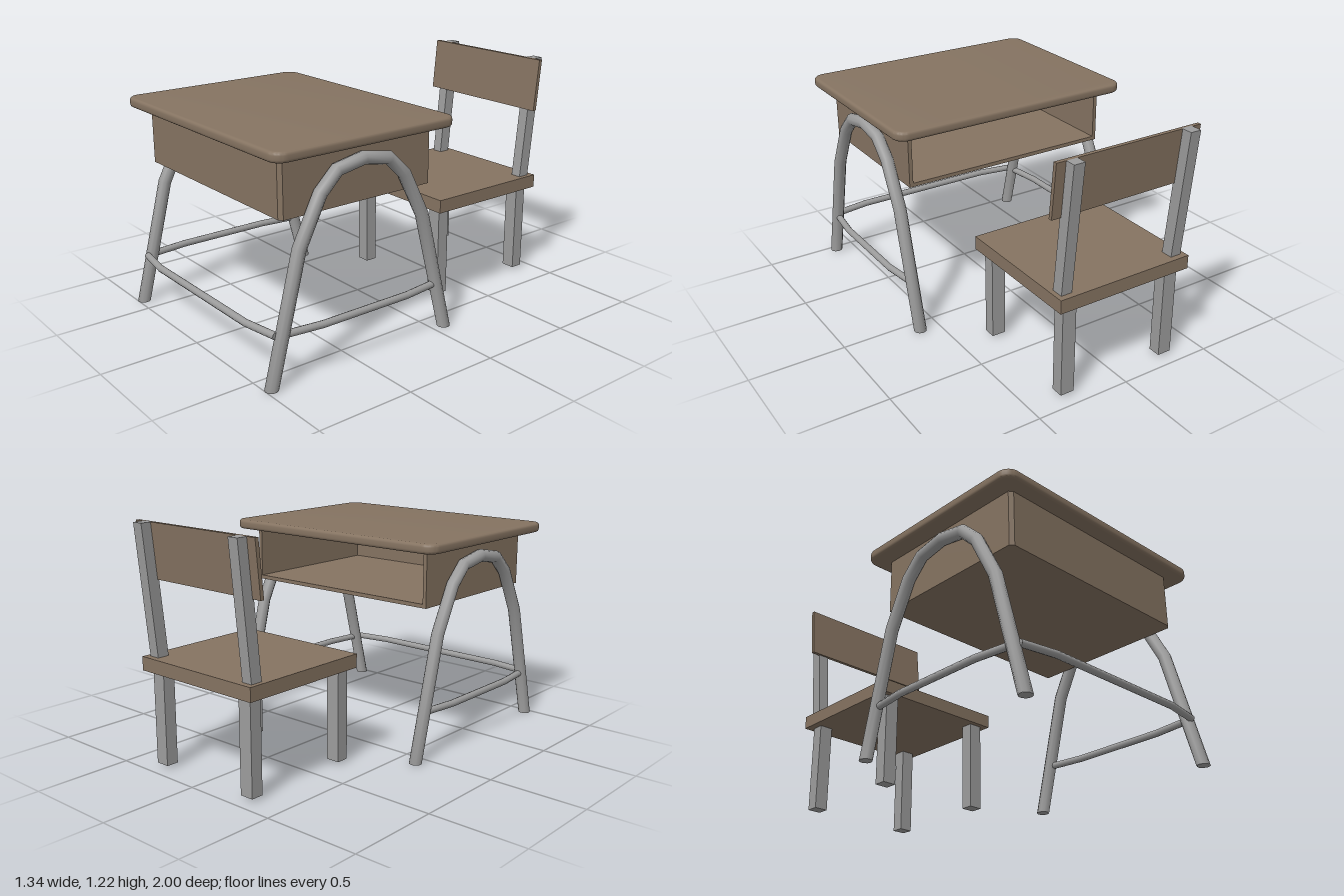
import * as THREE from 'three';
import { mergeGeometries, toCreasedNormals } from 'three/addons/utils/BufferGeometryUtils.js';

const wood = new THREE.MeshStandardMaterial({ name: 'wood', color: 0x857361 });
const metal = new THREE.MeshStandardMaterial({ name: 'grey metal', color: 0x9c9c9c });

// Straight-segment path; an optional end direction squares off the tube ends
class Polyline extends THREE.Curve {
  constructor(points, startDir, endDir) {
    super();
    this.points = points.map((p) => new THREE.Vector3(...p));
    this.startDir = startDir;
    this.endDir = endDir;
  }
  getPoint(t, target = new THREE.Vector3()) {
    const n = this.points.length - 1;
    const i = Math.min(Math.floor(t * n + 1e-6), n - 1);
    return target.lerpVectors(this.points[i], this.points[i + 1], t * n - i);
  }
  getTangent(t, target = new THREE.Vector3()) {
    const p = this.points, n = p.length - 1, k = Math.round(t * n);
    if (k === 0 && this.startDir) return target.copy(this.startDir);
    if (k === n && this.endDir) return target.copy(this.endDir);
    const dir = (i) => p[i + 1].clone().sub(p[i]).normalize();
    return target.copy(dir(Math.max(k - 1, 0))).add(dir(Math.min(k, n - 1))).normalize();
  }
  getPointAt(t, target) { return this.getPoint(t, target); }
  getTangentAt(t, target) { return this.getTangent(t, target); }
}

function add(parent, name, geometry, material) {
  const mesh = new THREE.Mesh(geometry, material);
  mesh.name = name;
  parent.add(mesh);
  return mesh;
}

// Capped tube through the points
function pipe(points, radius, startDir, endDir) {
  const path = new Polyline(points, startDir, endDir);
  const parts = [new THREE.TubeGeometry(path, points.length - 1, radius, 10)];
  for (const [t, sign] of [[0, -1], [1, 1]]) {
    const cap = new THREE.CircleGeometry(radius, 10);
    const out = path.getTangent(t).multiplyScalar(sign);
    cap.applyQuaternion(new THREE.Quaternion().setFromUnitVectors(new THREE.Vector3(0, 0, 1), out));
    const at = path.getPoint(t);
    cap.translate(at.x, at.y, at.z);
    parts.push(cap);
  }
  return mergeGeometries(parts);
}

// Box given by its limits, leaning in z by lean per unit of height
function block(x0, x1, y0, y1, z0, z1, lean = 0) {
  const g = new THREE.BoxGeometry(x1 - x0, y1 - y0, z1 - z0);
  g.applyMatrix4(new THREE.Matrix4().set(1, 0, 0, 0, 0, 1, 0, 0, 0, lean, 1, 0, 0, 0, 0, 1));
  g.translate((x0 + x1) / 2, (y0 + y1) / 2, (z0 + z1) / 2 + lean * (y1 - y0) / 2);
  // restore the lower edge to z0..z1
  g.computeVertexNormals();
  return g;
}

function roundedRect(w, d, r) {
  const s = new THREE.Shape();
  s.absarc(w - r, d - r, r, 0, Math.PI / 2);
  s.absarc(-w + r, d - r, r, Math.PI / 2, Math.PI);
  s.absarc(-w + r, -d + r, r, Math.PI, Math.PI * 1.5);
  s.absarc(w - r, -d + r, r, Math.PI * 1.5, Math.PI * 2);
  return s;
}

function createDesk() {
  const desk = new THREE.Group();
  desk.name = 'desk';

  // Top with rounded corners and softened edge
  const b = 0.016;
  const top = new THREE.ExtrudeGeometry(roundedRect(0.672 - b, 0.512 - b, 0.05), {
    depth: 0.05 - 2 * b, bevelThickness: b, bevelSize: b, bevelSegments: 4, curveSegments: 6,
  });
  top.rotateX(-Math.PI / 2).translate(0, 1.05 + b, 0.45);
  add(desk, 'deskTop', toCreasedNormals(top, 0.6), wood);

  // Book box, open at the back, with chamfered front corners
  const outline = [
    [-0.575, 0.03], [-0.555, 0.03], [-0.555, 0.86], [0.555, 0.86], [0.555, 0.03],
    [0.575, 0.03], [0.575, 0.865], [0.555, 0.88], [-0.555, 0.88], [-0.575, 0.865],
  ];
  const walls = new THREE.ExtrudeGeometry(
    new THREE.Shape(outline.map(([x, z]) => new THREE.Vector2(x, -z))),
    { depth: 0.29, bevelEnabled: false },
  );
  walls.rotateX(-Math.PI / 2).translate(0, 0.765, 0);
  add(desk, 'bookBoxWalls', walls, wood);
  add(desk, 'bookBoxFloor', block(-0.556, 0.556, 0.765, 0.785, 0.03, 0.861), wood);

  // Arched leg frames and their side bars
  const up = new THREE.Vector3(0, 1, 0);
  const down = new THREE.Vector3(0, -1, 0);
  const half = [[0.52, 0], [0.357, 0.63], [0.24, 0.86], [0.147, 0.95]];
  for (const s of [-1, 1]) {
    const side = s > 0 ? 'left' : 'right';
    const x = s * 0.605;
    const points = [
      ...half.map(([z, y]) => [x, y, 0.45 + z]),
      [x, 0.977, 0.45],
      ...half.slice().reverse().map(([z, y]) => [x, y, 0.45 - z]),
    ];
    add(desk, side + 'ArchedLeg', pipe(points, 0.033, up, down), metal);
    const bar = [[0.605, -0.0], [0.63, 0.2], [0.63, 0.7], [0.605, 0.9]];
    add(desk, side + 'SideBar', pipe(bar.map(([bx, z]) => [s * bx, 0.25, z]), 0.018), metal);
  }

  // Front foot bar, bowed forward
  const foot = [[-0.595, 0.935], [-0.4, 0.966], [0.4, 0.966], [0.595, 0.935]];
  add(desk, 'footBar', pipe(foot.map(([x, z]) => [x, 0.25, z]), 0.018), metal);
  return desk;
}

function createChair() {
  const chair = new THREE.Group();
  chair.name = 'chair';
  const lean = -0.099;
  add(chair, 'seat', block(-0.372, 0.372, 0.49, 0.56, -0.966, -0.25), wood);
  add(chair, 'backrest', block(-0.398, 0.398, 0.94, 1.215, -0.918, -0.898, lean), wood);
  for (const s of [-1, 1]) {
    const side = s > 0 ? 'left' : 'right';
    const span = (a, c) => (s > 0 ? [a, c] : [-c, -a]);
    add(chair, side + 'FrontLeg', block(...span(0.26, 0.334), 0.015, 0.49, -0.343, -0.278), metal);
    add(chair, side + 'BackLeg', block(...span(0.26, 0.334), 0.015, 0.49, -0.932, -0.867), metal);
    add(chair, side + 'BackPost', block(...span(0.29, 0.348), 0.56, 1.215, -0.935, -0.872, lean), metal);
  }
  return chair;
}

export function createModel() {
  const model = new THREE.Group();
  model.name = 'schoolDeskAndChair';
  model.add(createDesk(), createChair());
  return model;
}
